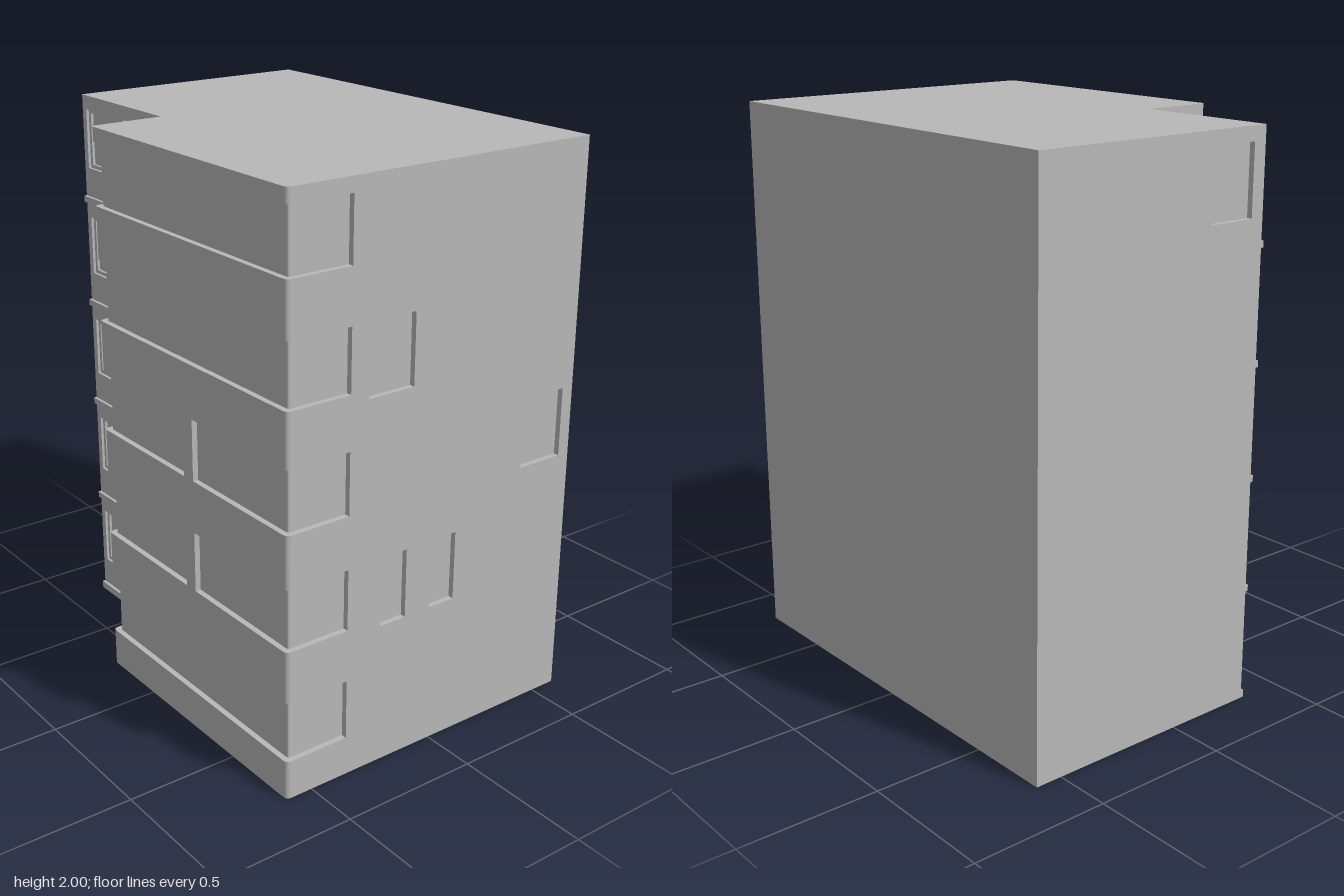
import * as THREE from 'three';

const T = 0.02; // wall thickness and window recess
const TOP = 1.99; // underside of the roof sheet

export function createModel() {
  const model = new THREE.Group();
  const concrete = new THREE.MeshStandardMaterial({ color: 0xb8b8b8 });
  concrete.name = 'concreteGrey';

  const add = (name, geometry, parent = model) => {
    const mesh = new THREE.Mesh(geometry, concrete);
    mesh.name = name;
    parent.add(mesh);
    return mesh;
  };
  const box = (name, x0, x1, y0, y1, z0, z1, parent) => {
    const mesh = add(name, new THREE.BoxGeometry(x1 - x0, y1 - y0, z1 - z0), parent);
    mesh.position.set((x0 + x1) / 2, (y0 + y1) / 2, (z0 + z1) / 2);
    return mesh;
  };
  const rect = (Type, [x0, x1, y0, y1]) => new Type(
    [[x0, y0], [x1, y0], [x1, y1], [x0, y1]].map(([x, y]) => new THREE.Vector2(x, y)));
  // Upright sheet with rectangular openings, facing +z
  const sheet = (outline, holes, depth) => {
    const shape = rect(THREE.Shape, outline);
    shape.holes = holes.map((h) => rect(THREE.Path, h));
    return new THREE.ExtrudeGeometry(shape, { depth, bevelEnabled: false });
  };
  // Floor plan given as [x, z, cornerRadius] points, raised from y0 to y1
  const plan = (points, y0, y1) => {
    const shape = new THREE.Shape();
    points.forEach(([x, z, r = 0], i) => {
      const corner = new THREE.Vector2(x, -z);
      const toward = (j) => {
        const [px, pz] = points[(j + points.length) % points.length];
        return new THREE.Vector2(px, -pz).sub(corner).setLength(r).add(corner);
      };
      const a = r ? toward(i - 1) : corner;
      if (i) shape.lineTo(a.x, a.y);
      else shape.moveTo(a.x, a.y);
      if (r) {
        const b = toward(i + 1);
        shape.quadraticCurveTo(corner.x, corner.y, b.x, b.y);
      }
    });
    return new THREE.ExtrudeGeometry(shape, { depth: y1 - y0, bevelEnabled: false, curveSegments: 6 })
      .rotateX(-Math.PI / 2).translate(0, y0, 0);
  };

  // Shell, open underneath
  box('backWall', -0.8 + T, 0.8 - T, 0, TOP, -0.6, -0.6 + T);

  // Wall on +x, with four recessed windows: [z0, z1, y0, y1]
  const eastWindows = [
    [0.11, 0.29, 1.305, 1.55], [-0.555, -0.375, 0.905, 1.15],
    [0.12, 0.225, 0.505, 0.75], [-0.09, 0.015, 0.505, 0.75],
  ];
  add('leftWall', sheet([-0.36, 0.6, 0, TOP],
    eastWindows.map(([z0, z1, y0, y1]) => [-z1, -z0, y0, y1]), T)
    .rotateY(Math.PI / 2)).position.x = 0.8 - T;
  eastWindows.forEach(([z0, z1, y0, y1]) =>
    box('sideWindowPane', 0.77, 0.8 - T, y0, y1, z0, z1));

  // Wall on -x, with one recessed window
  const westWindow = [0.1, 0.28, 1.705, 1.95];
  add('rightWall', sheet([-0.6, 0.33, 0, TOP], [westWindow], T)
    .rotateY(-Math.PI / 2)).position.x = -0.8 + T;
  box('sideWindowPane', -0.8 + T, -0.77, westWindow[2], westWindow[3], westWindow[0], westWindow[1]);

  // Set-back front wall with two framed windows and a ledge on each floor
  const openings = [];
  for (let floor = 0; floor < 5; floor++) {
    const y = floor * 0.4;
    openings.push([-0.775, -0.56, y + 0.135, y + 0.35], [-0.515, -0.295, y + 0.13, y + 0.35]);
    box('floorLedge', -0.8, -0.27, floor ? y + 0.005 : 0, y + 0.028, 0.33, 0.341);
  }
  add('setBackWall', sheet([-0.8 + T, -0.27, 0, TOP], openings, T)).position.z = 0.33 - T;
  openings.forEach(([x0, x1, y0, y1]) => {
    const inner = [x0 + 0.014, x1 - 0.014, y0 + 0.013, y1 - 0.013];
    add('windowFrame', sheet([x0, x1, y0, y1], [inner], 0.01)).position.z = 0.31;
    box('windowPane', x0, x1, y0, y1, 0.3, 0.31);
  });

  // Projecting bay: solid floor bands over a recessed wrap-around window strip
  const bay = new THREE.Group();
  bay.name = 'projectingBay';
  model.add(bay);
  const bands = [[0, 0.138]];
  for (let floor = 1; floor < 5; floor++) bands.push([floor * 0.4 - 0.05, floor * 0.4 + 0.135]);
  bands.push([1.95, TOP]);
  bands.forEach(([y0, y1]) => add('floorBand', plan([
    [-0.25, 0.33], [-0.25, 0.36], [-0.27, 0.36], [-0.27, 0.6, 0.02], [0.8, 0.6, 0.02],
    [0.8, 0.36], [0.78, 0.36], [0.78, 0.33],
  ], y0, y1), bay));
  add('recessedWindowStrip', plan([
    [-0.25, 0.34], [-0.25, 0.58, 0.01], [0.78, 0.58, 0.01], [0.78, 0.34],
    [0.77, 0.34], [0.77, 0.57], [-0.24, 0.57], [-0.24, 0.34],
  ], 0.01, TOP), bay);
  box('bayJamb', -0.27, -0.25, 0, TOP, 0.31, 0.36, bay);
  for (const floor of [1, 2])
    box('bayPier', 0.24, 0.293, floor * 0.4 + 0.135, floor * 0.4 + 0.35, 0.57, 0.6, bay);

  // Flat roof following the stepped footprint
  add('roof', plan([
    [-0.8, -0.6], [-0.8, 0.33], [-0.27, 0.33], [-0.27, 0.6, 0.02], [0.8, 0.6, 0.02], [0.8, -0.6],
  ], TOP, 2));

  return model;
}
